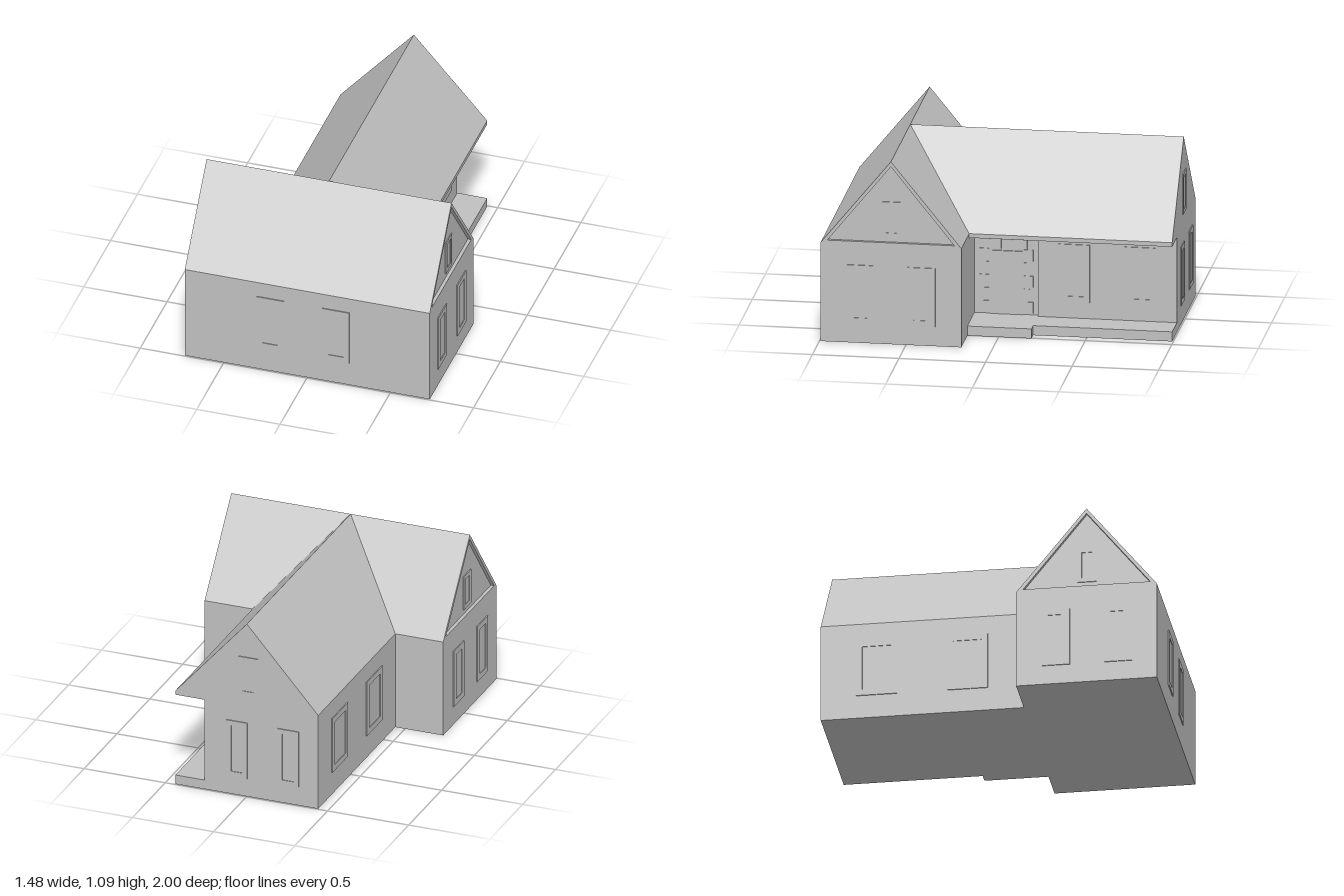
import * as THREE from 'three';

const HX = 0.735, ZF = 0.993, ZB = 0.18, RIDGE = 1.09, EAVE = 0.59, ZR = 0.587, WX = 0.44;

const polygon = (pts) => new THREE.Shape(pts.map(([x, y]) => new THREE.Vector2(x, y)));

export function createModel() {
  const grey = new THREE.MeshStandardMaterial({ color: 0xc0c0c0 });
  grey.name = 'plainGrey';
  const house = new THREE.Group();
  house.name = 'house';

  const add = (name, geometry, parent = house) => {
    const mesh = new THREE.Mesh(geometry, grey);
    mesh.name = name;
    parent.add(mesh);
    return mesh;
  };
  const extrude = (shape, depth) => new THREE.ExtrudeGeometry(shape, { depth, bevelEnabled: false });
  // Profile given as [-z, y], run along x from x0 to x1
  const alongX = (shape, x0, x1) => extrude(shape, x1 - x0).rotateY(Math.PI / 2).translate(x0, 0, 0);
  // Profile given as [x, y], run along z from z0 to z1
  const alongZ = (shape, z0, z1) => extrude(shape, z1 - z0).translate(0, 0, z0);

  // Front block with recessed gable triangles at both ends
  const blockProfile = () => polygon([[-ZF, 0], [-ZB, 0], [-ZB, EAVE], [-ZR, RIDGE], [-ZF, EAVE]]);
  const recess = 0.02;
  add('frontBlock', alongX(blockProfile(), -HX + recess, HX - recess));
  const endProfile = blockProfile();
  endProfile.holes.push(new THREE.Path(
    [[-0.955, 0.605], [-ZR, 1.06], [-0.22, 0.605]].map(([u, y]) => new THREE.Vector2(u, y))));
  add('leftEndWall', alongX(endProfile, HX - recess, HX));
  add('rightEndWall', alongX(endProfile, -HX, -HX + recess));

  // Rear wing with a porch cut under its left eave; the entry part is set back further
  const wingProfile = (wallX) => polygon([
    [-WX, 0], [WX, 0], [WX, 0.057], [wallX, 0.057], [wallX, 0.565],
    [WX, 0.565], [WX, EAVE], [0, RIDGE], [-WX, EAVE]]);
  add('rearWing', alongZ(wingProfile(0.26), -ZF, -0.19));
  add('entryWing', alongZ(wingProfile(0.235), -0.19, ZR));
  add('porchStep', new THREE.BoxGeometry(0.07, 0.057, 0.37).translate(0.47, 0.0285, -0.005));

  // Thin frame with a shallower pane, facing +z before turning
  const addWindow = (name, x, y, z, turn, w, h, border = 0.035) => {
    const group = new THREE.Group();
    group.name = name;
    const a = w / 2, b = h / 2, c = a - border, d = b - border;
    const frame = polygon([[-a, -b], [a, -b], [a, b], [-a, b]]);
    frame.holes.push(polygon([[-c, -d], [-c, d], [c, d], [c, -d]]));
    add('frame', extrude(frame, 0.006), group);
    add('pane', new THREE.BoxGeometry(2 * c, 2 * d, 0.002).translate(0, 0, 0.001), group);
    group.position.set(x, y, z);
    group.rotation.y = turn;
    house.add(group);
  };
  const LEFT = Math.PI / 2, RIGHT = -Math.PI / 2, BACK = Math.PI;

  for (const x of [-0.22, 0.172]) addWindow('frontWindow', x, 0.323, ZF, 0, 0.163, 0.345);
  for (const [side, turn] of [[1, LEFT], [-1, RIGHT]]) {
    for (const z of [0.77, 0.41]) addWindow('endWindow', side * HX, 0.29, z, turn, 0.16, 0.35);
    addWindow('gableWindow', side * (HX - recess), 0.74, ZR, turn, 0.11, 0.21, 0.025);
  }
  for (const z of [-0.67, -0.145]) addWindow('wingWindow', -WX, 0.31, z, RIGHT, 0.235, 0.34);
  for (const x of [0.06, -0.255]) addWindow('backWindow', x, 0.29, -ZF, BACK, 0.13, 0.35, 0.03);
  addWindow('backGableWindow', -0.01, 0.76, -ZF, BACK, 0.12, 0.24, 0.025);
  for (const z of [-0.4, -0.78]) addWindow('porchWindow', 0.26, 0.325, z, LEFT, 0.18, 0.345);

  // Entry door with a surround of small blocks
  add('door', new THREE.BoxGeometry(0.008, 0.378, 0.185).translate(0.239, 0.246, -0.005));
  const block = (y, z, h, w) =>
    add('surroundBlock', new THREE.BoxGeometry(0.006, h, w).translate(0.238, y, z));
  for (let i = 0; i < 5; i++) {
    const w = i % 2 ? 0.035 : 0.055;
    for (const s of [-1, 1]) block(0.1 + i * 0.078, -0.005 + s * (0.1 + w / 2), 0.066, w);
  }
  for (let i = -2; i <= 2; i++) block(0.475, -0.005 + i * 0.05, 0.055, 0.04);

  return house;
}
